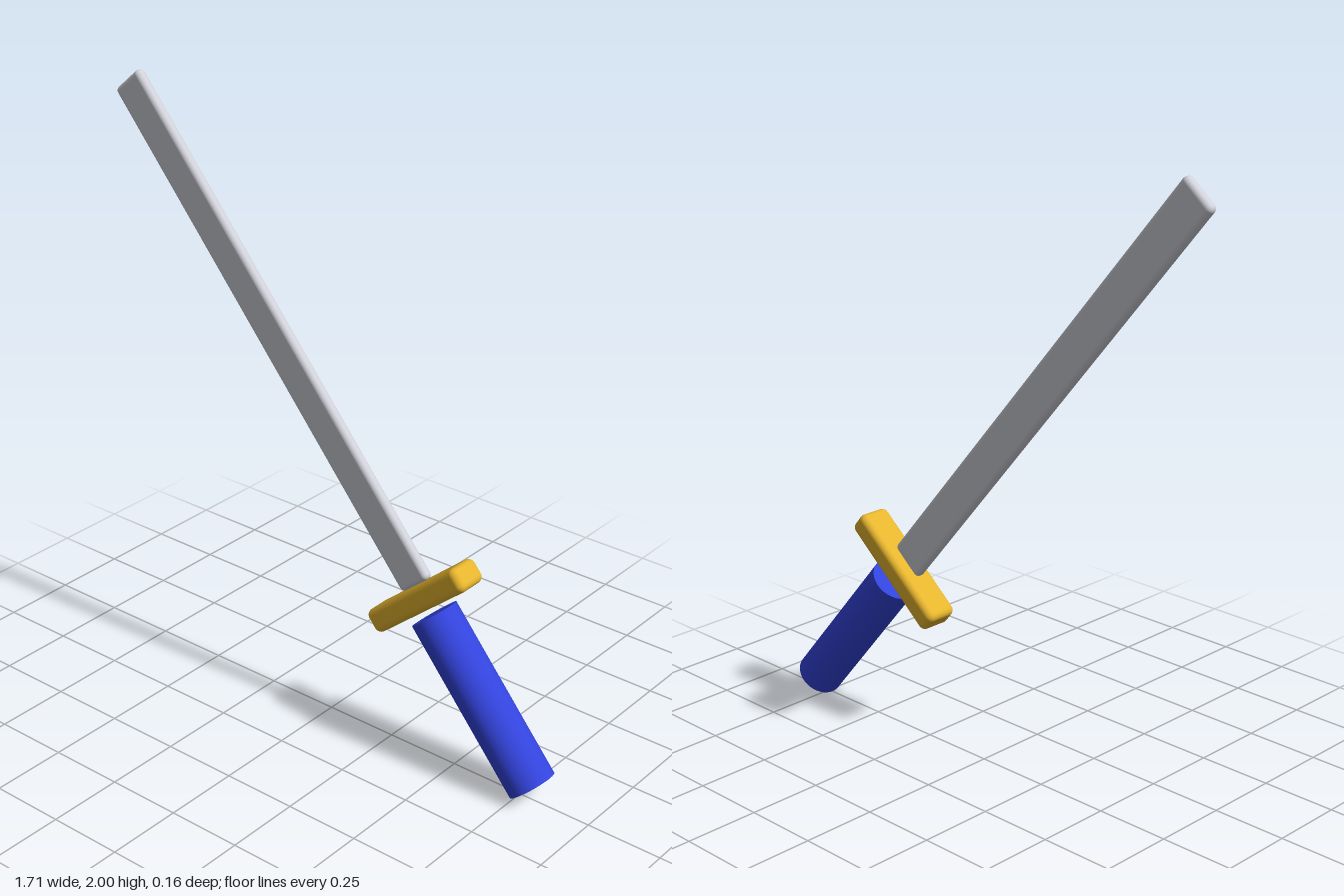
import * as THREE from 'three';
import { RoundedBoxGeometry } from 'three/addons/geometries/RoundedBoxGeometry.js';

export function createModel() {
  const model = new THREE.Group();
  model.name = 'sword';

  // The sword is built upright around the handle centre, then tilted.
  const add = (name, geometry, color, y) => {
    const mesh = new THREE.Mesh(geometry, new THREE.MeshStandardMaterial({ color }));
    mesh.name = name;
    mesh.position.y = y;
    model.add(mesh);
  };

  // Round grip with flat ends
  add('handle', new THREE.CylinderGeometry(0.078, 0.078, 0.6, 48), 0x3344dd, 0);
  // Crossguard, floating just above the grip
  add('guard', new RoundedBoxGeometry(0.43, 0.08, 0.115, 5, 0.022), 0xe6b52e, 0.362);
  // Thin blunt blade resting on the guard
  add('blade', new RoundedBoxGeometry(0.129, 1.795, 0.037, 5, 0.016), 0xcfd0d8, 1.3);

  model.rotation.z = THREE.MathUtils.degToRad(40);
  model.position.set(0.6, 0.281, 0);

  const root = new THREE.Group();
  root.add(model);
  return root;
}
